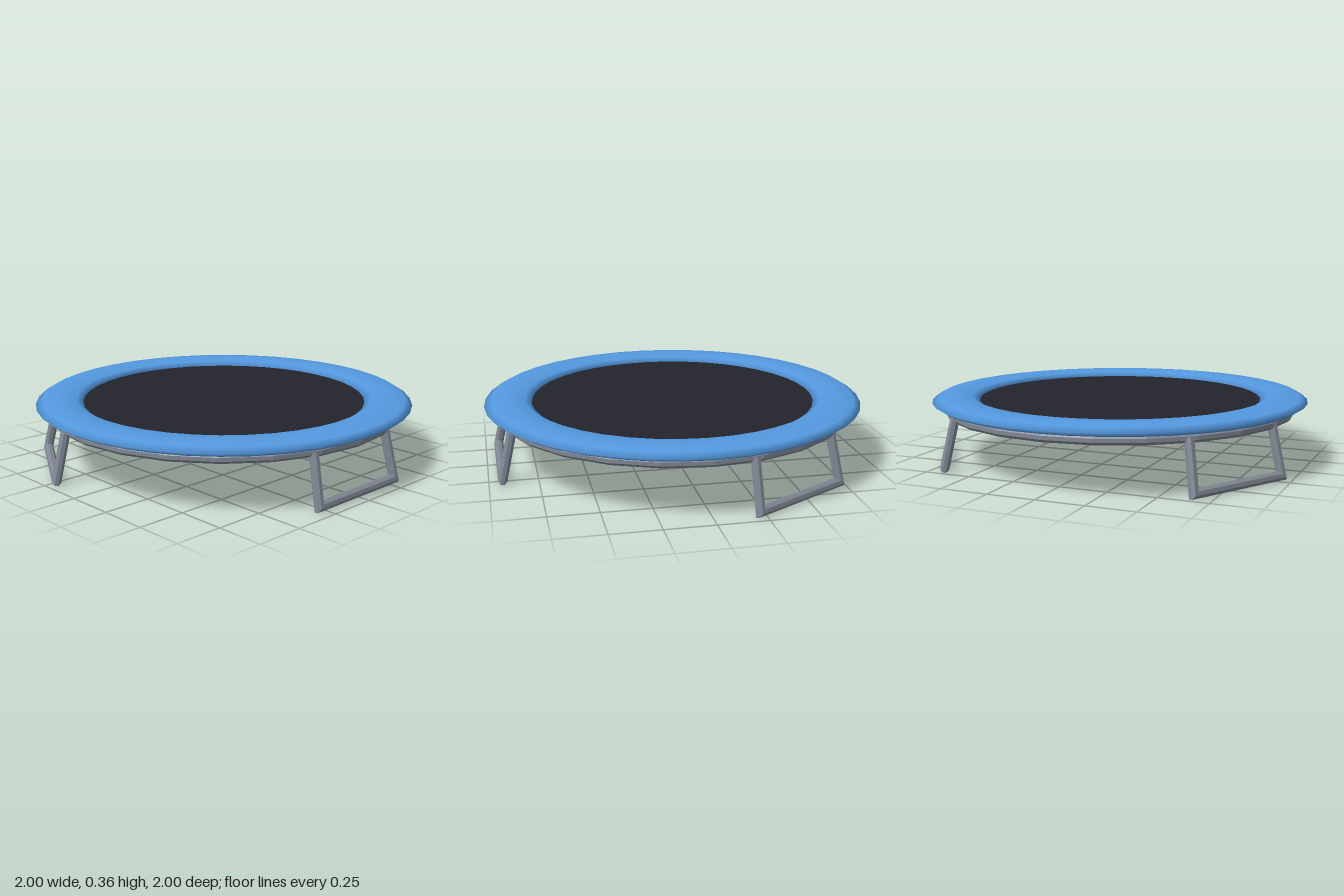
import * as THREE from 'three';

const flat = (name, color, extra = {}) =>
  Object.assign(new THREE.MeshStandardMaterial({ color, ...extra }), { name });

const TUBE = 0.025; // corner radius of the octagonal steel tube
const SIDES = 8;
const cornerAngle = (k) => ((k + 0.5) / SIDES) * Math.PI * 2;

// Octagonal tube along a planar path, with mitred corners and closed ends
function mitredTube(points, planeNormal) {
  const pos = [], index = [];
  const n = points.length;
  const dirs = points.slice(1).map((p, i) => p.clone().sub(points[i]).normalize());
  points.forEach((p, i) => {
    const before = dirs[Math.max(i - 1, 0)];
    const after = dirs[Math.min(i, n - 2)];
    const tangent = before.clone().add(after).normalize();
    const side = planeNormal.clone().cross(tangent).normalize();
    const stretch = 1 / tangent.dot(after);
    for (let k = 0; k < SIDES; k++) {
      const a = cornerAngle(k);
      const v = p.clone()
        .addScaledVector(side, Math.cos(a) * TUBE * stretch)
        .addScaledVector(planeNormal, -Math.sin(a) * TUBE);
      pos.push(v.x, v.y, v.z);
    }
  });
  for (let i = 0; i < n - 1; i++) {
    for (let k = 0; k < SIDES; k++) {
      const a = i * SIDES + k, b = i * SIDES + ((k + 1) % SIDES);
      index.push(a, a + SIDES, b, b, a + SIDES, b + SIDES);
    }
  }
  const last = (n - 1) * SIDES;
  for (let k = 1; k < SIDES - 1; k++) {
    index.push(0, k, k + 1, last, last + k + 1, last + k);
  }
  const g = new THREE.BufferGeometry();
  g.setAttribute('position', new THREE.Float32BufferAttribute(pos, 3));
  g.setIndex(index);
  g.computeVertexNormals();
  return g;
}

export function createModel() {
  const model = new THREE.Group();
  model.name = 'trampoline';

  const blue = flat('blue padding', 0x5499e0);
  const black = flat('black mat', 0x23232d);
  const steel = flat('grey steel', 0x808794, { flatShading: true, side: THREE.DoubleSide });

  const add = (name, geometry, material, parent = model) => {
    const mesh = new THREE.Mesh(geometry, material);
    mesh.name = name;
    parent.add(mesh);
    return mesh;
  };

  // Flattened padded rim
  const pad = new THREE.TorusGeometry(0.875, 0.125, 8, 40);
  pad.rotateX(Math.PI / 2).scale(1, 0.26, 1);
  add('paddedRim', pad, blue).position.y = 0.323;

  // Jumping mat
  add('jumpingMat', new THREE.CylinderGeometry(0.787, 0.787, 0.024, 40), black).position.y = 0.312;

  // Octagonal tube ring under the rim
  const profile = [];
  for (let k = 0; k <= SIDES; k++) {
    const a = cornerAngle(k);
    profile.push(new THREE.Vector2(0.912 + Math.cos(a) * TUBE, 0.275 + Math.sin(a) * TUBE));
  }
  add('frameRing', new THREE.LatheGeometry(profile, 24), steel);

  // Three splayed U-shaped legs
  const path = [
    new THREE.Vector3(-0.268, 0.275, 0.872),
    new THREE.Vector3(-0.285, 0.025, 0.93),
    new THREE.Vector3(0.285, 0.025, 0.93),
    new THREE.Vector3(0.268, 0.275, 0.872),
  ];
  const normal = new THREE.Vector3(0, 0.058, 0.25).normalize();
  const legGeometry = mitredTube(path, normal);
  ['frontLeg', 'backLeftLeg', 'backRightLeg'].forEach((name, i) => {
    add(name, legGeometry, steel).rotation.y = (i * Math.PI * 2) / 3;
  });

  return model;
}
